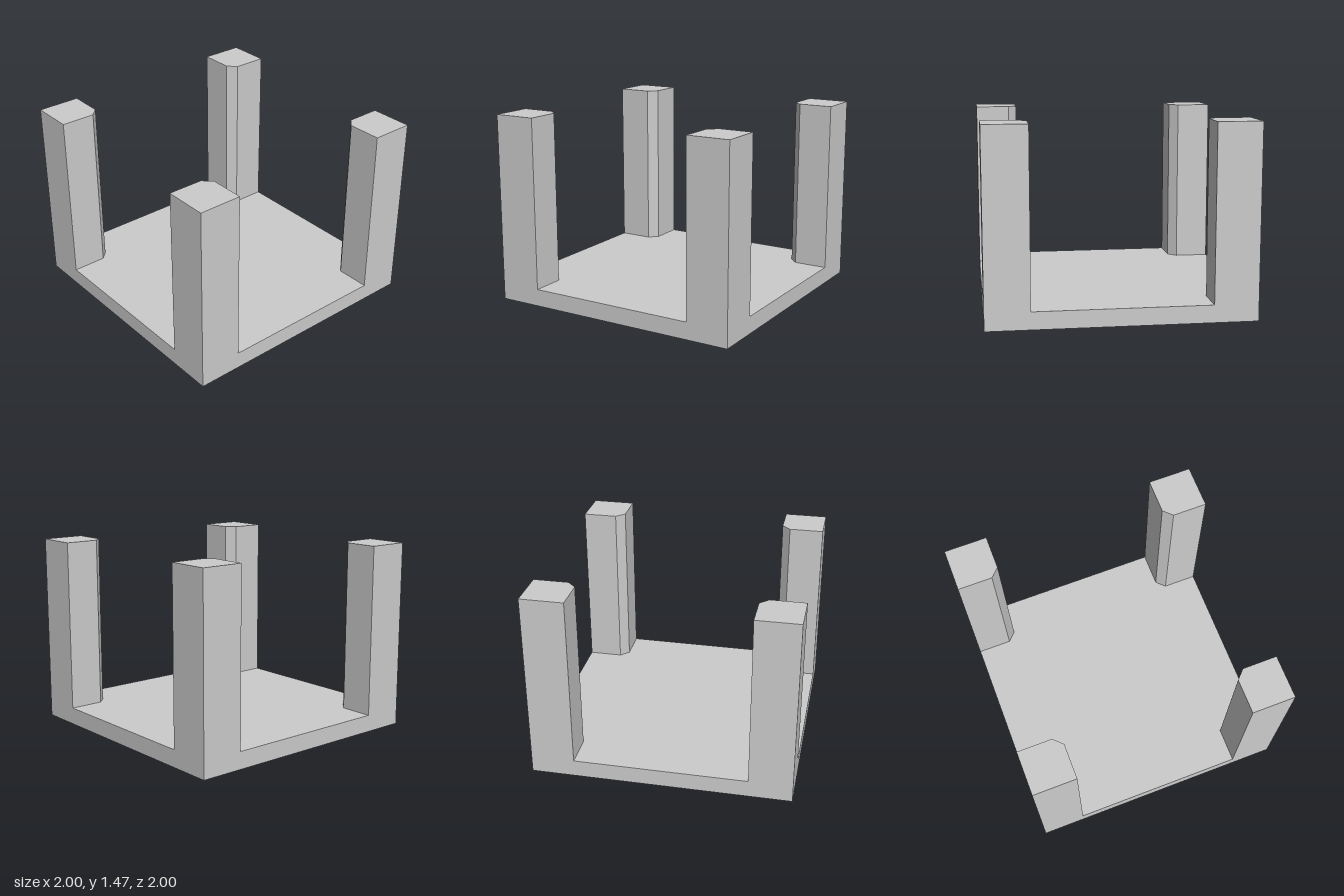
import * as THREE from 'three';

const HALF = 1;          // half the side of the square base
const BASE = 0.1333;     // base thickness
const HEIGHT = 1.4667;   // overall height
const INNER = 0.6667;    // inner face of the posts
const CHAMFER = 0.0667;  // cut on each post's inner edge

export function createModel() {
  const group = new THREE.Group();
  const material = new THREE.MeshStandardMaterial({ color: 0xcccccc, flatShading: true });

  // Square base slab
  const base = new THREE.Mesh(new THREE.BoxGeometry(2 * HALF, BASE, 2 * HALF), material);
  base.name = 'base';
  base.position.y = BASE / 2;
  group.add(base);

  // Corner post section, chamfered towards the centre
  const section = new THREE.Shape([
    new THREE.Vector2(INNER + CHAMFER, INNER),
    new THREE.Vector2(HALF, INNER),
    new THREE.Vector2(HALF, HALF),
    new THREE.Vector2(INNER, HALF),
    new THREE.Vector2(INNER, INNER + CHAMFER),
  ]);
  const postGeometry = new THREE.ExtrudeGeometry(section, { depth: HEIGHT - BASE, bevelEnabled: false });
  postGeometry.rotateX(-Math.PI / 2);

  // Four posts, one per quarter turn
  ['backLeftPost', 'backRightPost', 'frontRightPost', 'frontLeftPost'].forEach((name, i) => {
    const post = new THREE.Mesh(postGeometry, material);
    post.name = name;
    post.position.y = BASE;
    post.rotation.y = i * Math.PI / 2;
    group.add(post);
  });

  return group;
}
